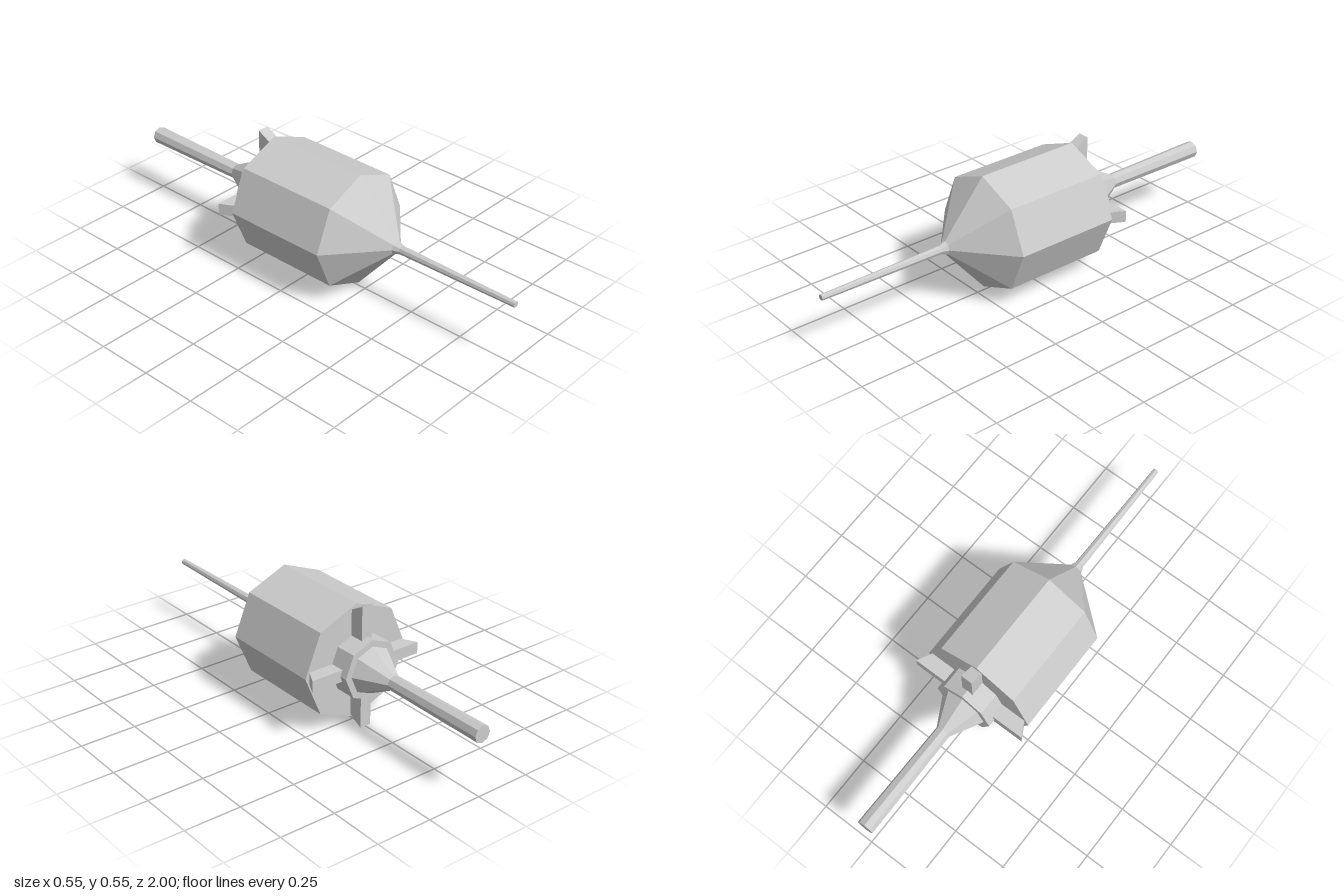
import * as THREE from 'three';

const SIDES = 8;
const AXIS_Y = 0.275;

// Eight-sided solid of revolution along z; profile is [radius, z] from back to front.
function turned(name, profile, material) {
  const points = profile.map(([r, z]) => new THREE.Vector2(r, z));
  const geometry = new THREE.LatheGeometry(points, SIDES);
  geometry.rotateX(Math.PI / 2);
  const mesh = new THREE.Mesh(geometry, material);
  mesh.name = name;
  return mesh;
}

export function createModel() {
  const metal = new THREE.MeshStandardMaterial({ color: 0xcccccc, flatShading: true });
  metal.name = 'light grey metal';

  const model = new THREE.Group();
  model.name = 'model';
  const core = new THREE.Group();
  core.name = 'core';
  core.position.y = AXIS_Y;
  model.add(core);

  // Main drum with its pointed nose
  core.add(turned('body', [[0, -0.265], [0.26, -0.265], [0.26, 0.215], [0.03, 0.41], [0, 0.41]], metal));

  // Thin needle at the front
  core.add(turned('needle', [[0.03, 0.41], [0.019, 0.44], [0.013, 1], [0, 1]], metal));

  // Collar behind the drum
  core.add(turned('collar', [[0, -0.365], [0.135, -0.365], [0.135, -0.265]], metal));

  // Tapered neck and rear rod
  core.add(turned('neck', [[0.033, -0.5], [0.106, -0.365]], metal));
  core.add(turned('rearRod', [[0, -1], [0.038, -1], [0.033, -0.5]], metal));

  // Four flared fins around the collar, drawn as (z, radius)
  const width = 0.052;
  const outline = new THREE.Shape([
    new THREE.Vector2(-0.33, 0.11),
    new THREE.Vector2(-0.265, 0.11),
    new THREE.Vector2(-0.265, 0.24),
    new THREE.Vector2(-0.33, 0.275),
  ]);
  const finGeometry = new THREE.ExtrudeGeometry(outline, { depth: width, bevelEnabled: false });
  finGeometry.translate(0, 0, -width / 2);
  finGeometry.rotateY(-Math.PI / 2);
  for (let i = 0; i < 4; i++) {
    const fin = new THREE.Mesh(finGeometry, metal);
    fin.name = 'fin' + (i + 1);
    fin.rotation.z = (i * Math.PI) / 2;
    core.add(fin);
  }

  return model;
}
